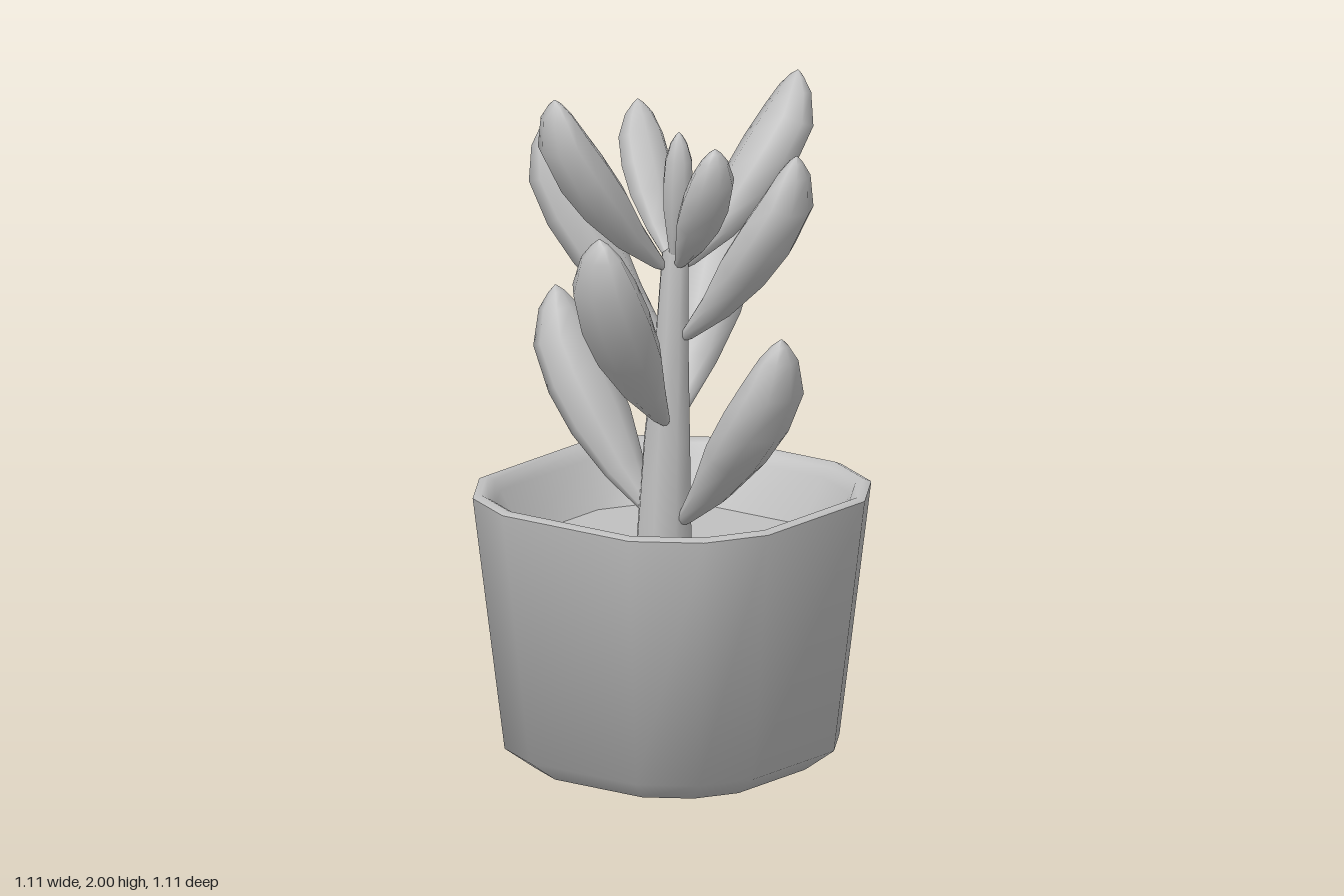
import * as THREE from 'three';
import { toCreasedNormals } from 'three/addons/utils/BufferGeometryUtils.js';

const clay = new THREE.MeshStandardMaterial({ color: 0xc0c0c0 });
clay.name = 'plain grey';

// Skin a list of closed rings (arrays of Vector3 of equal length)
function loft(rings) {
  const n = rings[0].length, pos = [], index = [];
  rings.forEach(ring => ring.forEach(p => pos.push(p.x, p.y, p.z)));
  for (let i = 0; i < rings.length - 1; i++) {
    for (let j = 0; j < n; j++) {
      const a = i * n + j, b = i * n + (j + 1) % n;
      index.push(a, b, b + n, a, b + n, a + n);
    }
  }
  const g = new THREE.BufferGeometry();
  g.setAttribute('position', new THREE.Float32BufferAttribute(pos, 3));
  g.setIndex(index);
  g.computeVertexNormals();
  return g;
}

function addMesh(parent, name, geometry) {
  const m = new THREE.Mesh(geometry, clay);
  m.name = name;
  parent.add(m);
}

// Rounded, slightly twisted square: three corner points turned four times
function potRing(scale, y) {
  const ring = [];
  for (let q = 0; q < 4; q++) {
    for (const [x, z] of [[0.555, -0.085], [0.43, 0.35], [0.29, 0.495]]) {
      const c = Math.round(Math.cos(q * Math.PI / 2)), s = Math.round(Math.sin(q * Math.PI / 2));
      ring.push(new THREE.Vector3((x * c - z * s) * scale, y, (x * s + z * c) * scale));
    }
  }
  return ring;
}

// Fleshy leaf: oval sections along a curve that leans out, then turns up
function leafGeometry(base, tip, width, thick) {
  const out = new THREE.Vector3(tip[0] - base[0], 0, tip[2] - base[2]);
  const reach = out.length(), rise = tip[1] - base[1];
  out.normalize();
  const origin = new THREE.Vector3(...base);
  const at = (r, h) => origin.clone().addScaledVector(out, r * reach).add(new THREE.Vector3(0, h * rise, 0));
  const curve = new THREE.CatmullRomCurve3([at(0, 0), at(0.3, 0.19), at(0.63, 0.47), at(0.92, 0.76), at(1, 1)]);
  const side = new THREE.Vector3(-out.z, 0, out.x);
  const profile = [[0, 0.04], [0.06, 0.24], [0.25, 0.6], [0.45, 0.92], [0.63, 1], [0.8, 0.9], [0.92, 0.56], [0.975, 0.24], [1, 0.02]];
  return loft(profile.map(([t, k]) => {
    const centre = curve.getPointAt(t);
    const normal = curve.getTangentAt(t).cross(side);
    return Array.from({ length: 8 }, (_, j) => {
      const a = j * Math.PI / 4;
      return centre.clone()
        .addScaledVector(side, Math.cos(a) * k * width / 2)
        .addScaledVector(normal, Math.sin(a) * k * thick / 2);
    });
  }));
}

export function createModel() {
  const model = new THREE.Group();
  model.name = 'pottedSucculent';

  // Pot: inner wall, rolled lip, tapered outside, bevelled foot
  const pot = [[0.77, 0.64], [0.89, 0.77], [0.92, 0.8], [0.96, 0.812], [1, 0.802], [0.84, 0.06], [0.69, 0], [0, 0]];
  addMesh(model, 'pot', toCreasedNormals(loft(pot.map(([s, y]) => potRing(s, y))), 1.1));
  addMesh(model, 'soil', loft([potRing(0, 0.64), potRing(0.77, 0.64)]));

  // Stem: tapered and slightly leaning
  const stem = [[-0.025, 0.62, 0.085], [-0.015, 0.95, 0.07], [0, 1.25, 0.05], [0.01, 1.5, 0.04], [0.01, 1.53, 0]];
  addMesh(model, 'stem', loft(stem.map(([x, y, r]) => Array.from({ length: 8 }, (_, j) => {
    const a = -j * Math.PI / 4;
    return new THREE.Vector3(x + r * Math.cos(a), y, -r * Math.sin(a));
  }).reverse())));

  // Leaves in opposite pairs: base, tip, width, thickness
  const leaves = [
    ['lowerLeftLeaf', [0.02, 0.7, 0.01], [0.40, 1.33, 0.17], 0.23, 0.17],
    ['lowerRightLeaf', [-0.04, 0.7, -0.01], [-0.41, 1.33, -0.14], 0.23, 0.17],
    ['frontLeaf', [0, 1.0, 0.04], [-0.05, 1.65, 0.44], 0.23, 0.17],
    ['backLeaf', [0, 1.0, -0.04], [0, 1.65, -0.44], 0.23, 0.17],
    ['middleLeftLeaf', [0.02, 1.24, 0], [0.40, 1.84, 0.05], 0.21, 0.16],
    ['middleRightLeaf', [-0.02, 1.24, 0], [-0.40, 1.84, -0.03], 0.21, 0.16],
    ['upperFrontLeaf', [-0.01, 1.45, 0.01], [-0.25, 2.0, 0.28], 0.21, 0.16],
    ['upperBackLeaf', [0.02, 1.45, -0.01], [0.28, 2.0, -0.27], 0.21, 0.16],
    ['youngFrontLeaf', [0.02, 1.46, 0.01], [0.21, 1.88, 0.2], 0.15, 0.12],
    ['youngBackLeaf', [0, 1.46, -0.01], [-0.19, 1.88, -0.22], 0.15, 0.12],
    ['bud', [0.01, 1.45, 0.01], [0.035, 1.87, 0.035], 0.09, 0.09],
  ];
  for (const [name, base, tip, w, t] of leaves) addMesh(model, name, leafGeometry(base, tip, w, t));

  return model;
}
